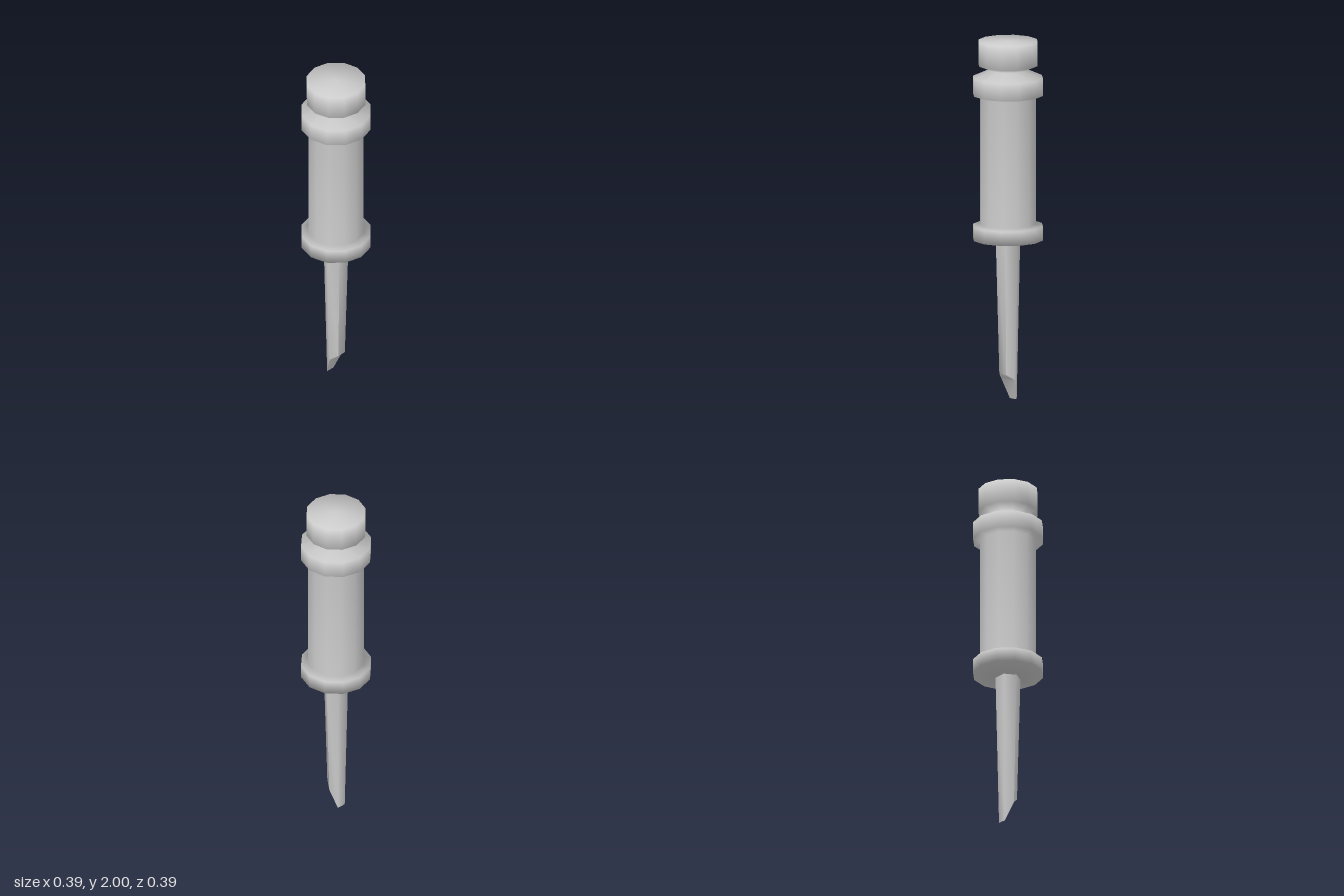
import * as THREE from 'three';
import { toCreasedNormals } from 'three/addons/utils/BufferGeometryUtils.js';

const grey = () => new THREE.MeshStandardMaterial({ color: 0xcccccc });

function addMesh(group, geometry, name) {
  const mesh = new THREE.Mesh(geometry, grey());
  mesh.name = name;
  group.add(mesh);
}

// Tapered hexagonal shaft whose lower end is cut to a slanted point
function bladeGeometry() {
  const sides = 6;
  const tipHeights = [0.115, 0.15, 0.15, 0.115, 0, 0]; // from +x, round by the front
  const positions = [];
  const ring = (radius, heightAt) => {
    for (let i = 0; i < sides; i++) {
      const a = (i / sides) * Math.PI * 2;
      positions.push(Math.cos(a) * radius, heightAt(i), Math.sin(a) * radius);
    }
  };
  ring(0.07, () => 0.885);
  ring(0.05, (i) => tipHeights[i]);

  const index = [];
  for (let i = 0; i < sides; i++) {
    const j = (i + 1) % sides;
    index.push(i, j, i + sides, j, j + sides, i + sides);
  }
  // Slanted cut: upper facet, then the long pointed facet
  index.push(6, 7, 8, 6, 8, 9, 6, 9, 10, 6, 10, 11);

  const geometry = new THREE.BufferGeometry();
  geometry.setAttribute('position', new THREE.Float32BufferAttribute(positions, 3));
  geometry.setIndex(index);
  return toCreasedNormals(geometry, Math.PI / 2.7);
}

export function createModel() {
  const model = new THREE.Group();
  model.name = 'handTool';

  // Handle with lower collar, grip, upper collar, neck and cap
  const profile = [
    [0, 0.873], [0.07, 0.873],
    [0.195, 0.895], [0.195, 0.973], [0.155, 0.985],
    [0.155, 1.69], [0.195, 1.7], [0.195, 1.797],
    [0.1, 1.84], [0.165, 1.865], [0.165, 2], [0, 2],
  ].map(([r, y]) => new THREE.Vector2(r, y));
  addMesh(model, new THREE.LatheGeometry(profile, 12), 'handle');

  addMesh(model, bladeGeometry(), 'blade');
  return model;
}
